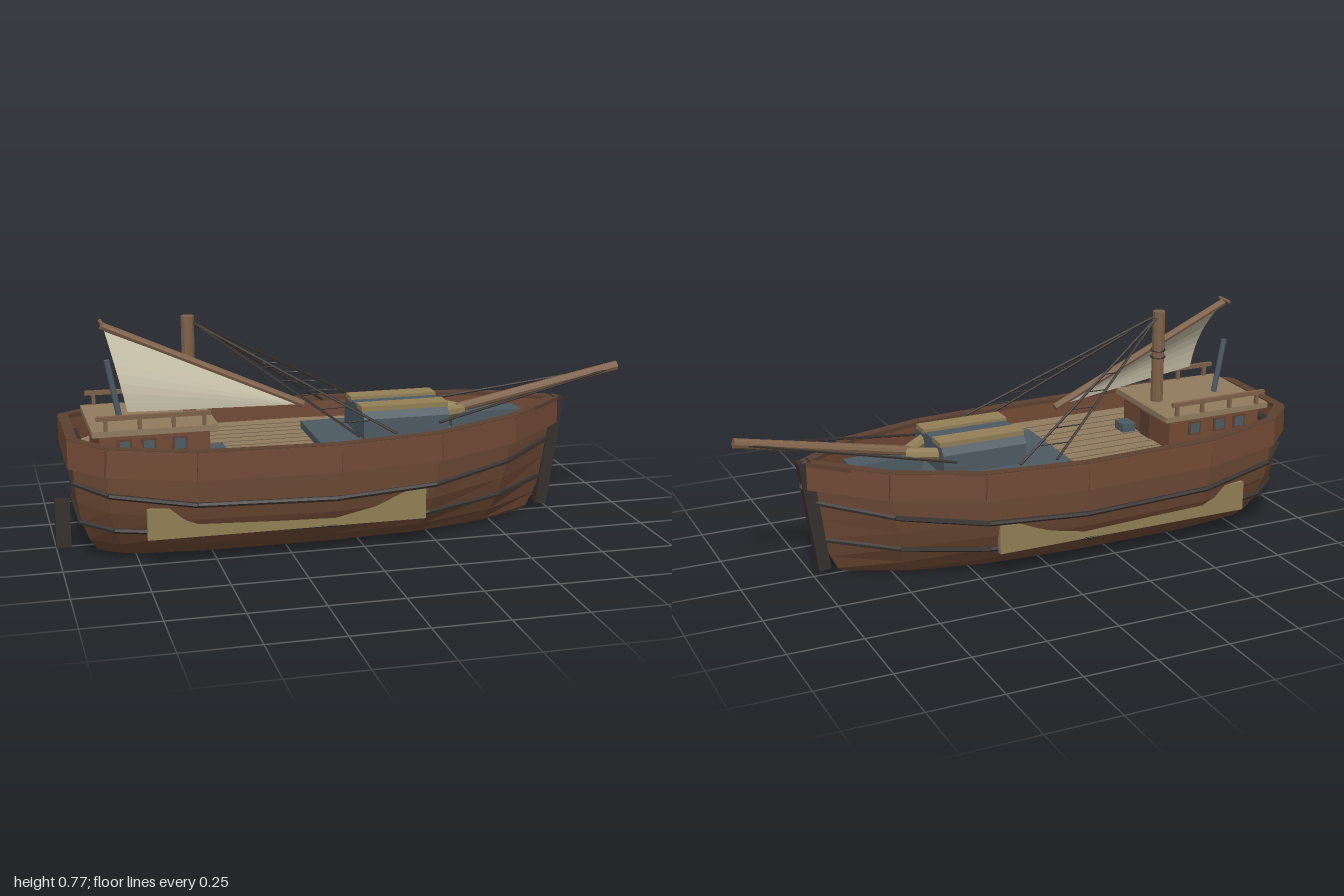
import * as THREE from 'three';

const mat = (color, double) => new THREE.MeshStandardMaterial({
  color, flatShading: true, roughness: 0.9, side: double ? THREE.DoubleSide : THREE.FrontSide });
const M = {
  hull: mat(0x6b4833, true), plank: mat(0x724a35), rim: mat(0x5c4030), dark: mat(0x35302c), deck: mat(0x8f7b5e),
  seam: mat(0x665642), tan: mat(0x917f55), wood: mat(0x7d6148), grey: mat(0x4d5a62), sail: mat(0xc2bca5, true),
};
const V = (x, y, z) => new THREE.Vector3(x, y, z);

// Half plan outline from stern to stem: x, z, sheer rise
const PLAN = [[-0.95, 0.17, 0.03], [-0.85, 0.265, 0.02], [-0.57, 0.32, 0.005], [-0.1, 0.325, 0],
  [0.25, 0.29, 0.005], [0.54, 0.185, 0.018], [0.77, 0, 0.03]];
// Hull levels: y, width factor, stern x, bow x, sheer factor
const LEVELS = [[0, 0.49, -0.84, 0.64, 0], [0.015, 0.6, -0.87, 0.665, 0], [0.05, 0.74, -0.9, 0.69, 0.4],
  [0.1, 0.87, -0.925, 0.72, 1], [0.15, 0.95, -0.938, 0.735, 1.7], [0.2, 0.99, -0.945, 0.75, 2.3],
  [0.29, 1, -0.95, 0.76, 1.6], [0.378, 1, -0.95, 0.77, 1]];

// Closed ring of points round the hull at one level, optionally pushed outwards
function ring([y, f, xs, xb, s], out = 0) {
  const half = PLAN.map(([x, z, rise]) => V(
    xs + (x + 0.95) / 1.72 * (xb - xs) + out * (x > 0.7 ? 1 : x < -0.9 ? -0.8 : 0),
    y + rise * s, z * f + (z ? out : 0)));
  const other = half.slice(0, -1).reverse().map(p => V(p.x, p.y, -p.z));
  return [...half, ...other];
}

export function createModel() {
  const model = new THREE.Group();
  const add = (name, geo, m, parent = model) => {
    const mesh = new THREE.Mesh(geo, m);
    mesh.name = name;
    parent.add(mesh);
    return mesh;
  };
  const group = name => {
    const g = new THREE.Group();
    g.name = name;
    model.add(g);
    return g;
  };
  const box = (name, m, x0, x1, y0, y1, z0, z1, parent) => {
    const b = add(name, new THREE.BoxGeometry(x1 - x0, y1 - y0, z1 - z0), m, parent);
    b.position.set((x0 + x1) / 2, (y0 + y1) / 2, (z0 + z1) / 2);
    return b;
  };
  // Square beam and round spar between two points
  const beam = (name, m, a, b, w, h, parent) => {
    const s = add(name, new THREE.BoxGeometry(w, h, a.distanceTo(b)), m, parent);
    s.position.copy(a).lerp(b, 0.5);
    s.lookAt(b);
    return s;
  };
  const spar = (name, m, a, b, r, parent, n = 8) => {
    const s = add(name, new THREE.CylinderGeometry(r, r, a.distanceTo(b), n), m, parent);
    s.position.copy(a).lerp(b, 0.5);
    s.quaternion.setFromUnitVectors(V(0, 1, 0), b.clone().sub(a).normalize());
    return s;
  };

  // Hull skin lofted through the levels, closed underneath
  const rings = LEVELS.map(l => ring(l)), n = rings[0].length;
  const pos = rings.flat().flatMap(p => p.toArray()), idx = [];
  for (let k = 0; k < rings.length - 1; k++) for (let i = 0; i < n; i++) {
    const a = k * n + i, b = k * n + (i + 1) % n;
    idx.push(a, b, b + n, a, b + n, a + n);
  }
  for (let i = 1; i < n - 1; i++) idx.push(0, i + 1, i);
  const hull = new THREE.BufferGeometry();
  hull.setAttribute('position', new THREE.Float32BufferAttribute(pos, 3));
  hull.setIndex(idx);
  hull.computeVertexNormals();
  add('hull', hull, M.hull);

  // Deck with plank seams
  const deckShape = new THREE.Shape(rings[6].map(p => new THREE.Vector2(p.x * 0.99, -p.z * 0.99)));
  const deck = add('deck', new THREE.ExtrudeGeometry(deckShape, { depth: 0.01, bevelEnabled: false }), M.deck);
  deck.rotation.x = -Math.PI / 2;
  deck.position.y = 0.3;
  const seams = group('deckSeams');
  for (let i = -5; i <= 5; i++) {
    const z = i * 0.05, end = 0.5 - Math.abs(z) * 0.9;
    box('deckSeam', M.seam, -0.84, end, 0.31, 0.311, z - 0.0015, z + 0.0015, seams);
  }

  // Bulwark planks, cap rail and the two wales, one piece per side of the plan
  const bulwark = group('bulwark'), wales = group('wales');
  const planks = ring(LEVELS[7], 0.003), cap = ring(LEVELS[7], -0.004);
  const wale = [ring(LEVELS[5], 0.004), ring(LEVELS[3], 0.004)];
  for (let i = 0; i < n; i++) {
    const j = (i + 1) % n, down = V(0, -0.042, 0);
    beam('bulwarkPlank', M.plank, planks[i].clone().add(down), planks[j].clone().add(down), 0.024, 0.092, bulwark);
    beam('capRail', M.rim, cap[i], cap[j], 0.034, 0.014, bulwark);
    for (const w of wale) spar('wale', M.dark, w[i], w[j], 0.009, wales, 6);
  }

  // Fender boards, stem post and rudder
  for (const s of [1, -1]) {
    const f = box('fenderBoard', M.tan, -0.73, 0.2, 0.097, 0.2, -0.01, 0.01);
    f.position.z = s * 0.285;
  }
  beam('stemPost', M.dark, V(0.715, 0.025, 0), V(0.77, 0.413, 0), 0.042, 0.042);
  box('rudder', M.dark, -1, -0.95, 0, 0.167, -0.012, 0.012);

  // Aft cabin with windows, roof and handrails
  const cabin = group('cabin');
  box('cabinWalls', M.plank, -0.86, -0.5, 0.31, 0.42, -0.165, 0.165, cabin);
  box('cabinRoof', M.deck, -0.885, -0.475, 0.418, 0.438, -0.185, 0.185, cabin);
  box('cabinDoor', M.rim, -0.5, -0.494, 0.31, 0.4, -0.035, 0.035, cabin);
  box('deckChest', M.grey, -0.49, -0.44, 0.31, 0.34, 0.06, 0.12, cabin);
  for (const s of [1, -1]) {
    for (const x of [-0.78, -0.7, -0.6]) {
      box('windowFrame', M.rim, x - 0.024, x + 0.024, 0.355, 0.402, s * 0.166 - 0.003, s * 0.166 + 0.003, cabin);
      box('window', M.grey, x - 0.017, x + 0.017, 0.361, 0.396, s * 0.168 - 0.003, s * 0.168 + 0.003, cabin);
    }
    for (const x of [-0.84, -0.73, -0.62, -0.52])
      box('railPost', M.wood, x - 0.006, x + 0.006, 0.438, 0.476, s * 0.18 - 0.006, s * 0.18 + 0.006, cabin);
    box('handrail', M.wood, -0.87, -0.5, 0.472, 0.486, s * 0.18 - 0.007, s * 0.18 + 0.007, cabin);
  }
  box('sternBeam', M.dark, -0.93, -0.9, 0.31, 0.36, -0.18, 0.18);
  spar('roofPost', M.grey, V(-0.775, 0.438, 0), V(-0.81, 0.63, 0), 0.01);

  // Fore hatch: base slab, faceted cover with pale strips, and snout
  const hatch = group('foreHatch');
  const slab = new THREE.Shape([[-0.12, -0.175], [0.4, -0.175], [0.515, -0.15], [0.515, 0.15], [0.4, 0.175],
    [-0.12, 0.175]].map(p => new THREE.Vector2(...p)));
  const base = add('hatchBase', new THREE.ExtrudeGeometry(slab, { depth: 0.025, bevelEnabled: false }), M.grey, hatch);
  base.rotation.x = -Math.PI / 2;
  base.position.y = 0.31;
  const section = new THREE.Shape([[-0.13, 0.33], [0.13, 0.33], [0.13, 0.405], [0.1, 0.434], [-0.1, 0.434],
    [-0.13, 0.405]].map(p => new THREE.Vector2(...p)));
  const cover = add('hatchCover', new THREE.ExtrudeGeometry(section, { depth: 0.3, bevelEnabled: false }), M.grey, hatch);
  cover.rotation.y = Math.PI / 2;
  cover.position.x = 0.03;
  for (const s of [1, -1]) {
    const strip = box('hatchStrip', M.tan, 0.028, 0.333, 0.427, 0.444, -0.035, 0.035, hatch);
    strip.position.z = s * 0.072;
    spar('hatchArm', M.tan, V(0.32, 0.395, s * 0.075), V(0.41, 0.385, s * 0.01), 0.022, hatch);
  }
  box('hatchSnout', M.grey, 0.37, 0.62, 0.335, 0.385, -0.04, 0.04, hatch);
  spar('bowsprit', M.wood, V(0.4, 0.392, 0), V(0.995, 0.51, 0), 0.017, model, 10);

  // Mast, slanting yard and fittings
  spar('mast', M.wood, V(-0.54, 0.31, 0), V(-0.54, 0.765, 0), 0.022, model, 10);
  for (const y of [0.6, 0.625]) {
    const hoop = add('mastHoop', new THREE.TorusGeometry(0.025, 0.003, 5, 12), M.dark);
    hoop.rotation.x = Math.PI / 2;
    hoop.position.set(-0.54, y, 0);
  }
  spar('yard', M.wood, V(-0.83, 0.755, 0.045), V(-0.16, 0.452, 0.045), 0.013);
  spar('yardEndPeg', M.wood, V(-0.828, 0.764, 0.005), V(-0.828, 0.764, 0.07), 0.006);

  // Sail: bellied patch between the yard and its loose corner
  const sail = new THREE.PlaneGeometry(1, 1, 8, 8), p = sail.attributes.position;
  const peak = V(-0.82, 0.738, 0.055), tack = V(-0.17, 0.453, 0.05), clew = V(-0.765, 0.49, 0.155);
  for (let i = 0; i < p.count; i++) {
    const u = p.getX(i) + 0.5, v = 0.5 - p.getY(i);
    const q = peak.clone().lerp(tack, u).lerp(clew.clone().lerp(tack, u), v);
    q.z += 0.03 * Math.sin(Math.PI * v) * (1 - u);
    p.setXYZ(i, q.x, q.y, q.z);
  }
  sail.computeVertexNormals();
  add('sail', sail, M.sail);

  // Shrouds with ratlines, and bowsprit stays
  const rigging = group('rigging');
  for (const s of [1, -1]) {
    const top = V(-0.525, 0.745, s * 0.008), fore = V(0.11, 0.385, s * 0.255), aft = V(-0.02, 0.385, s * 0.262);
    for (const end of [fore, aft]) spar('shroud', M.dark, top, end, 0.0045, rigging, 5);
    for (const t of [0.4, 0.52, 0.64, 0.76, 0.88])
      spar('ratline', M.dark, top.clone().lerp(aft, t), top.clone().lerp(fore, t), 0.002, rigging, 4);
    spar('bowStay', M.dark, V(0.96, 0.5, s * 0.01), V(0.29, 0.385, s * 0.15), 0.0045, rigging, 5);
  }
  return model;
}
